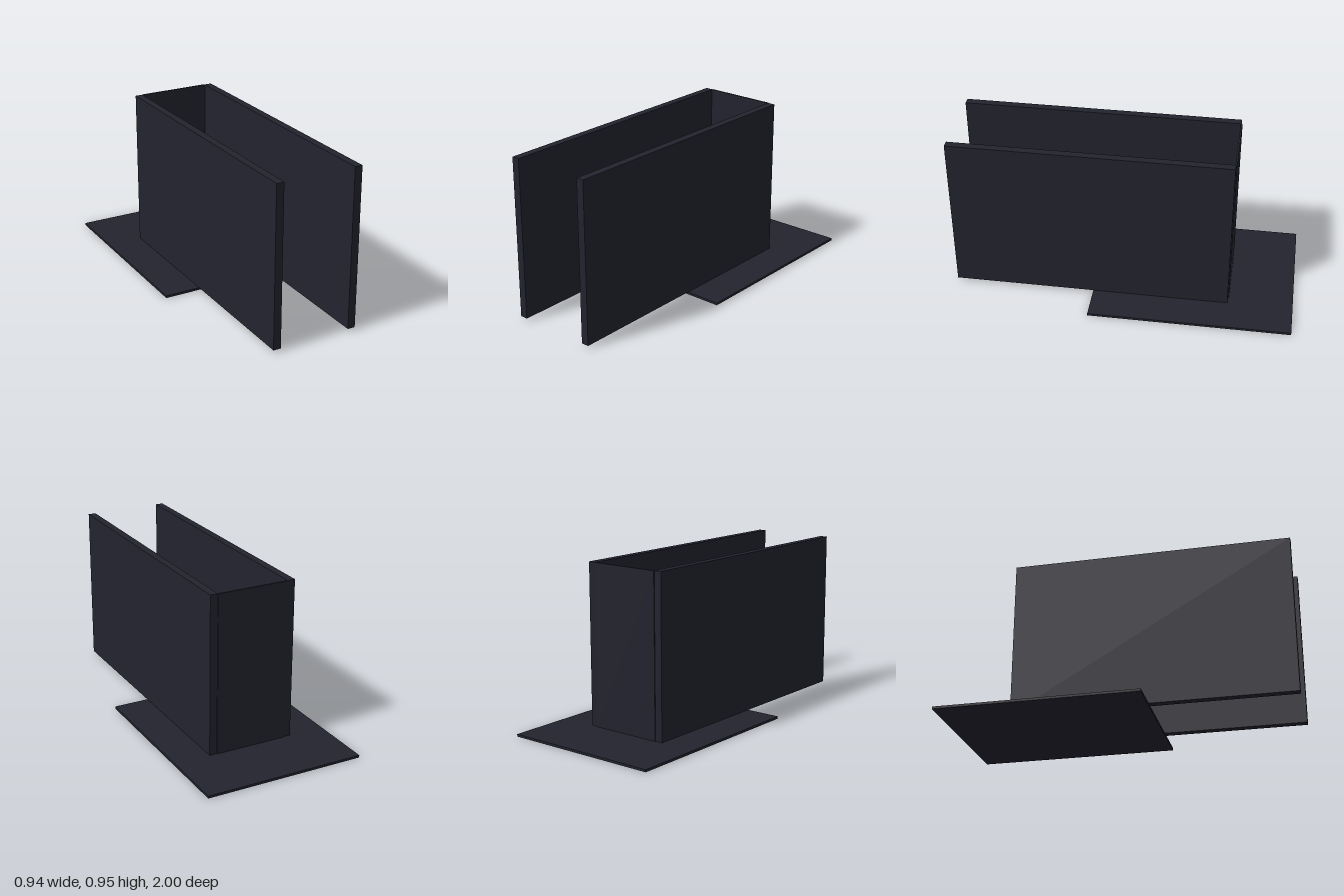
import * as THREE from 'three';
import { RoundedBoxGeometry } from 'three/addons/geometries/RoundedBoxGeometry.js';

const wallPaint = new THREE.MeshStandardMaterial({ name: 'dark slate', color: 0x23232f });
const blue = new THREE.MeshStandardMaterial({ name: 'robot blue', color: 0x3f7cc4 });
const dark = new THREE.MeshStandardMaterial({ name: 'robot black', color: 0x1b1d26 });

function add(parent, name, geometry, material, x, y, z) {
  const mesh = new THREE.Mesh(geometry, material);
  mesh.name = name;
  mesh.position.set(x, y, z);
  parent.add(mesh);
  return mesh;
}

const box = (w, h, d) => new THREE.BoxGeometry(w, h, d);
const rounded = (w, h, d, r) => new RoundedBoxGeometry(w, h, d, 5, r);
const ball = (rx, ry, rz) => new THREE.SphereGeometry(1, 24, 16).scale(rx, ry, rz);

function createRobot() {
  const robot = new THREE.Group();
  robot.name = 'robot';

  // Wide helmet with a dark visor and small eyes
  add(robot, 'head', rounded(0.102, 0.064, 0.048, 0.023), blue, 0, 0.142, 0);
  add(robot, 'visor', rounded(0.084, 0.048, 0.012, 0.0055), dark, 0, 0.141, 0.0205);
  add(robot, 'neck', new THREE.CylinderGeometry(0.012, 0.012, 0.012, 20), dark, 0, 0.109, 0);

  // Round torso with a dark waist
  add(robot, 'torso', ball(0.026, 0.024, 0.019), blue, 0, 0.085, 0);
  add(robot, 'hips', ball(0.02, 0.009, 0.015), dark, 0, 0.06, 0);

  for (const [side, s] of [['left', 1], ['right', -1]]) {
    add(robot, side + 'Eye', ball(0.0022, 0.0022, 0.001), blue, s * 0.006, 0.131, 0.0267);
    const ear = add(robot, side + 'Ear', new THREE.CylinderGeometry(0.013, 0.013, 0.008, 24), dark, s * 0.05, 0.142, 0);
    ear.rotation.z = Math.PI / 2;
    const rim = add(robot, side + 'EarRim', new THREE.TorusGeometry(0.011, 0.002, 8, 24), blue, s * 0.053, 0.142, 0);
    rim.rotation.y = Math.PI / 2;

    // Arm
    add(robot, side + 'Shoulder', ball(0.0085, 0.008, 0.0085), blue, s * 0.031, 0.091, 0);
    const arm = add(robot, side + 'UpperArm', new THREE.CapsuleGeometry(0.005, 0.016, 5, 12), dark, s * 0.036, 0.082, 0);
    arm.rotation.z = s * 0.4;
    const forearm = add(robot, side + 'Forearm', new THREE.CapsuleGeometry(0.0075, 0.005, 6, 16), blue, s * 0.042, 0.071, 0.002);
    forearm.rotation.z = s * 0.25;
    add(robot, side + 'Hand', ball(0.007, 0.007, 0.007), dark, s * 0.042, 0.058, 0.003);

    // Leg
    add(robot, side + 'Leg', new THREE.CylinderGeometry(0.008, 0.008, 0.042, 16), dark, s * 0.015, 0.034, 0);
    add(robot, side + 'Knee', rounded(0.022, 0.013, 0.022, 0.006), blue, s * 0.015, 0.043, 0);
    add(robot, side + 'Boot', rounded(0.024, 0.018, 0.032, 0.007), blue, s * 0.016, 0.0095, 0.003);
  }
  return robot;
}

export function createModel() {
  const model = new THREE.Group();
  model.name = 'corridorWithRobot';

  // Floor slab and three standing walls
  add(model, 'floor', box(0.94, 0.014, 1.175), wallPaint, 0, 0.007, -0.4125);
  for (const [side, s] of [['left', 1], ['right', -1]]) {
    add(model, side + 'Wall', box(0.045, 0.941, 1.62), wallPaint, s * 0.2355, 0.4845, 0.19);
  }
  add(model, 'backWall', box(0.426, 0.941, 0.01), wallPaint, 0, 0.4845, -0.62);

  const robot = createRobot();
  robot.position.set(0, 0.014, -0.418);
  model.add(robot);
  return model;
}
